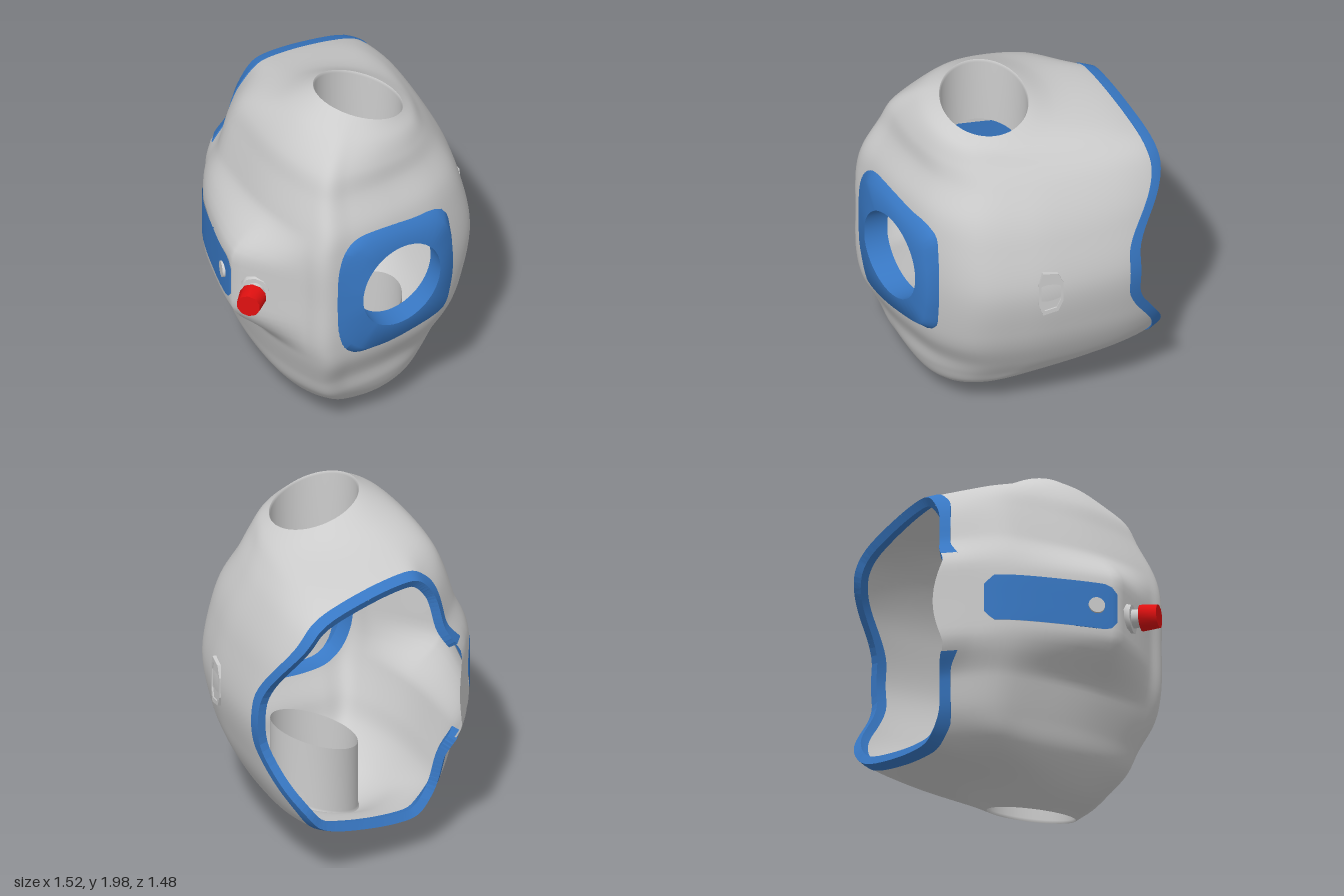
import * as THREE from 'three';
import { toCreasedNormals } from 'three/addons/utils/BufferGeometryUtils.js';

const V = (x, y, z) => new THREE.Vector3(x, y, z);
const { clamp, smoothstep, lerp } = THREE.MathUtils;
const material = (color) => new THREE.MeshStandardMaterial({ color, side: THREE.DoubleSide });
const GREY = material(0xcccccc), BLUE = material(0x3878c4), RED = material(0xe01010);

function add(parent, name, geometry, mat) {
  const mesh = new THREE.Mesh(geometry, mat);
  mesh.name = name;
  parent.add(mesh);
  return mesh;
}

// Skin over a stack of closed rings with equal point counts
function loft(rings) {
  const n = rings[0].length, index = [];
  for (let j = 0; j < rings.length - 1; j++) {
    for (let i = 0; i < n; i++) {
      const a = j * n + i, b = j * n + (i + 1) % n;
      index.push(a, a + n, b, b, a + n, b + n);
    }
  }
  const g = new THREE.BufferGeometry().setFromPoints(rings.flat());
  g.setIndex(index);
  g.computeVertexNormals();
  return g;
}

// Triangles as lists of { p, n } corners, so they can be cut with smooth normals
function toTriangles(g) {
  const P = g.attributes.position, N = g.attributes.normal, tris = [];
  const corner = (k) => ({ p: V().fromBufferAttribute(P, k), n: V().fromBufferAttribute(N, k) });
  for (let i = 0; i < g.index.count; i += 3) {
    tris.push([0, 1, 2].map((k) => corner(g.index.getX(i + k))));
  }
  return tris;
}

function fromTriangles(tris, offset = 0) {
  const flat = tris.flat();
  const g = new THREE.BufferGeometry().setFromPoints(flat.map((c) => c.p.clone().addScaledVector(c.n, offset)));
  g.setAttribute('normal', new THREE.Float32BufferAttribute(flat.flatMap((c) => c.n.toArray()), 3));
  return g;
}

// Keep the part where f(p) > 0; cuts collects the new edges
function clip(tris, f, cuts = []) {
  const out = [];
  for (const t of tris) {
    const d = t.map((c) => f(c.p)), poly = [], edge = [];
    for (let i = 0; i < 3; i++) {
      const k = (i + 1) % 3;
      if (d[i] > 0) poly.push(t[i]);
      if ((d[i] > 0) !== (d[k] > 0)) {
        const s = d[i] / (d[i] - d[k]);
        const c = { p: t[i].p.clone().lerp(t[k].p, s), n: t[i].n.clone().lerp(t[k].n, s).normalize() };
        poly.push(c);
        edge.push(c);
      }
    }
    for (let i = 2; i < poly.length; i++) out.push([poly[0], poly[i - 1], poly[i]]);
    if (edge.length === 2) cuts.push(edge);
  }
  return out;
}

// Horizontal outline of the shell at mid height (x, z)
const OUTLINE = [[.76, -.1], [.74, .12], [.67, .37], [.48, .54], [.15, .65], [-.15, .7], [-.33, .71], [-.42, .59],
  [-.53, .3], [-.57, 0], [-.56, -.38], [-.41, -.66], [-.2, -.85], [.2, -.9], [.61, -.79], [.73, -.55]];
// Height from the middle, tilt, x range, z range, roundness
const LEVELS = [[0, 0, -.57, .76, -.9, .72, 0], [.28, 0, -.56, .71, -.9, .715, 0], [.43, 0, -.52, .66, -.89, .69, 0],
  [.6, .02, -.465, .575, -.84, .61, .05], [.72, .06, -.41, .495, -.64, .57, .22], [.83, .16, -.28, .42, -.27, .48, .65],
  [.91, .33, -.13, .36, -.11, .375, 1]];
const AROUND = 112, UP = 84;

function shellRings() {
  const outline = new THREE.CatmullRomCurve3(OUTLINE.map(([x, z]) => V((x - .095) / .665, 0, (z + .09) / .81)), true)
    .getPoints(AROUND).slice(0, AROUND);
  const place = (q, [h, tilt, x0, x1, z0, z1, round], s) => {
    const n = q.clone().lerp(q.clone().normalize(), round);
    const x = (x0 + x1) / 2 + n.x * (x1 - x0) / 2;
    return V(x, 1 + s * (h - tilt * (x - .12)), (z0 + z1) / 2 + n.z * (z1 - z0) / 2);
  };
  const columns = outline.map((q) => {
    const upper = LEVELS.map((l) => place(q, l, 1));
    const lower = LEVELS.slice(1).reverse().map((l) => place(q, l, -1));
    return new THREE.CatmullRomCurve3([...lower, ...upper]).getPoints(UP);
  });
  for (const p of columns.flat()) {
    // Bulge on the right cheek that carries the side panel
    const along = p.z < .3 ? clamp((p.z + .47) / .77, 0, 1) : clamp((.62 - p.z) / .32, 0, 1);
    const high = 1 - smoothstep(Math.abs(p.y - 1), .16, .42);
    const right = clamp((-.25 - p.x) / .2, 0, 1);
    p.x -= .17 * along * high * right;
    // Back right corner drawn in above and below the flap
    p.x += .09 * smoothstep(-p.z, .25, .6) * smoothstep(Math.abs(p.y - 1), .2, .42) * smoothstep(-p.x, .1, .4);
  }
  return Array.from({ length: UP + 1 }, (_, j) => columns.map((c) => c[j]));
}

// Regions of the shell
const dy = (p) => Math.abs(p.y - 1);
const behind = (p) => p.z + .64 + .2 * p.x + .06 * smoothstep(-p.x, .28, .4)
  - .24 * (1 - smoothstep(dy(p), .1, .58)) * smoothstep(p.x, .2, .6);
const flap = (p) => Math.min(p.z + .67 - .8 * dy(p) ** 2, .29 - dy(p), -p.x);
const frontHole = (p) => (p.z > 0 ? Math.hypot(p.x - .135, p.y - 1) - .31 : 1);
const panelArea = (p) => Math.min(.135 - dy(p), p.z + .43, .29 - p.z, .45 - dy(p) - Math.abs(p.z + .07), -.3 - p.x);

function faceplate() {
  const edge = new THREE.CatmullRomCurve3([[.51, 1], [.495, 1.18], [.45, 1.32], [.2, 1.38], [0, 1.4], [-.12, 1.385],
    [-.21, 1.32], [-.27, 1.2], [-.285, 1], [-.27, .8], [-.21, .68], [-.12, .615], [0, .6], [.2, .62], [.45, .68],
    [.495, .82]].map(([x, y]) => V((x - .135) / .977, y - 1, 0)), true, 'centripetal').getPoints(64).slice(0, 64);
  // t runs from the window (0) to the outer edge (1); the right part slopes back more
  const ring = (t, z, shift = 0) => edge.map((p) => {
    const a = Math.atan2(p.y, p.x), x = lerp(.257 * Math.cos(a), p.x, t);
    return V(x + shift, lerp(.253 * Math.sin(a), p.y, t), z - .25 * Math.max(0, -x - .25) * (t < 1));
  });
  return toCreasedNormals(loft([ring(1, -.17), ring(1, -.065), ring(.75, -.015), ring(0, 0), ring(0, -.13, .028)]), 1);
}

// Long six-sided outline for the badge
function badgeShape(k) {
  const s = new THREE.Shape();
  [[-.045, -.14], [.04, -.125], [.07, -.06], [.07, .06], [.04, .125], [-.045, .14], [-.068, .07], [-.068, -.07]]
    .forEach(([x, y], i) => (i ? s.lineTo(x * k, y * k) : s.moveTo(x * k, y * k)));
  s.closePath();
  return s;
}

export function createModel() {
  const model = new THREE.Group();
  model.name = 'pod';

  // Shell with its openings
  const rings = shellRings();
  const whole = toTriangles(loft(rings));
  const skin = clip(clip(whole, (p) => Math.max(behind(p), flap(p))), frontHole);
  add(model, 'shell', fromTriangles(clip(skin, (p) => -panelArea(p))), GREY);
  add(model, 'sidePanel', fromTriangles(clip(skin, panelArea), .004), BLUE);

  // Thick rim around the back opening: outer band, inner band and the edge between
  const rim = new THREE.Group();
  rim.name = 'backRim';
  model.add(rim);
  const cuts = [];
  const besideFlap = clip(whole, (p) => Math.max(dy(p) - .29, p.x));
  const band = clip(clip(besideFlap, behind, cuts), (p) => .065 - behind(p), cuts);
  add(rim, 'rimOuter', fromTriangles(band, .006), BLUE);
  add(rim, 'rimInner', fromTriangles(band, -.045), BLUE);
  const lip = cuts.flatMap(([a, b]) => {
    const at = (c, o) => c.p.clone().addScaledVector(c.n, o);
    const [a0, a1, b0, b1] = [at(a, .006), at(a, -.045), at(b, .006), at(b, -.045)];
    return [a0, b0, a1, b0, b1, a1];
  });
  const lipGeometry = new THREE.BufferGeometry().setFromPoints(lip);
  lipGeometry.computeVertexNormals();
  add(rim, 'rimEdge', lipGeometry, BLUE);

  // Sleeves running inward from the top and bottom holes, cut parallel to the hole edges
  for (const [name, s, edge] of [['topSleeve', 1, rings[UP]], ['bottomSleeve', -1, rings[0]]]) {
    const narrow = (depth) => edge.map((p) => V(lerp(.115, p.x, .97), p.y - s * depth, lerp(.132, p.z, .97)));
    const stack = [edge, narrow(.015), narrow(.4)];
    add(model, name, loft(s > 0 ? stack : stack.reverse()), GREY);
  }

  // Front plate around the round window
  const plate = add(model, 'frontPlate', faceplate(), BLUE);
  plate.position.set(.135, 1, .684);
  plate.rotation.y = .216;

  // Knob on a short neck
  const knob = new THREE.Group();
  knob.name = 'knob';
  const parts = [['knobBase', .08, .09, .03, .015, GREY, 10], ['knobNeck', .048, .055, .1, .05, GREY, 16],
    ['knobCap', .066, .075, .1, .125, RED, 10]];
  for (const [name, r1, r2, h, y, mat, sides] of parts) {
    add(knob, name, toCreasedNormals(new THREE.CylinderGeometry(r1, r2, h, sides), .7), mat).position.y = y;
  }
  knob.position.set(-.598, 1, .397);
  knob.quaternion.setFromUnitVectors(V(0, 1, 0), V(-.62, 0, .78).normalize());
  model.add(knob);

  // Round button on the side panel
  const button = add(model, 'sideButton', new THREE.CylinderGeometry(.045, .05, .03, 24), GREY);
  button.position.set(-.695, 1, .17);
  button.quaternion.setFromUnitVectors(V(0, 1, 0), V(-.98, 0, -.18).normalize());

  // Framed blank badge on the left side
  const badge = new THREE.Group();
  badge.name = 'badge';
  const frame = badgeShape(1);
  frame.holes.push(badgeShape(.8));
  add(badge, 'badgeFrame', new THREE.ExtrudeGeometry(frame, { depth: .03, bevelEnabled: false }), GREY);
  add(badge, 'badgePlate', new THREE.ExtrudeGeometry(badgeShape(.8), { depth: .022, bevelEnabled: false }), GREY);
  badge.position.set(.732, 1, -.02);
  badge.rotation.y = Math.PI / 2 - .07;
  model.add(badge);

  return model;
}
